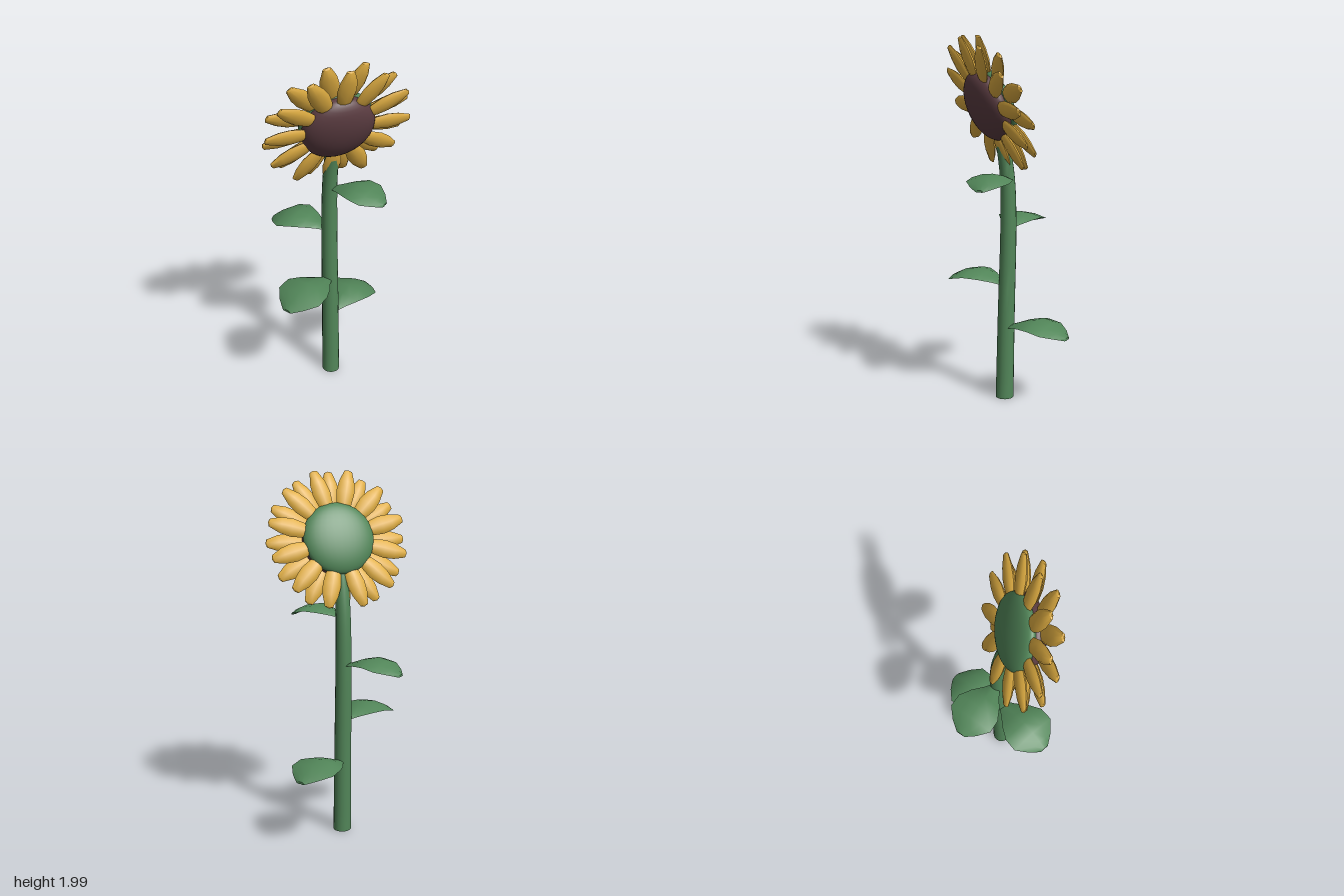
import * as THREE from 'three';
import { toCreasedNormals } from 'three/addons/utils/BufferGeometryUtils.js';

const mat = (name, color) => {
  const m = new THREE.MeshStandardMaterial({ color });
  m.name = name;
  return m;
};

const part = (name, geometry, material) => {
  const m = new THREE.Mesh(geometry, material);
  m.name = name;
  return m;
};

// Skin a list of closed rings (same point count) and cap both ends
function loft(rings) {
  const n = rings[0].length, last = (rings.length - 1) * n, index = [];
  for (let i = 0; i < rings.length - 1; i++) {
    for (let j = 0; j < n; j++) {
      const a = i * n + j, b = i * n + (j + 1) % n;
      index.push(a, b, a + n, b, b + n, a + n);
    }
  }
  for (let j = 1; j < n - 1; j++) {
    index.push(0, j + 1, j, last, last + j, last + j + 1);
  }
  const g = new THREE.BufferGeometry();
  g.setAttribute('position', new THREE.Float32BufferAttribute(rings.flat(2), 3));
  g.setIndex(index);
  return toCreasedNormals(g, 0.7);
}

// Tapered cylinder bent along a curve in the yz plane
function stemGeometry() {
  const curve = new THREE.CatmullRomCurve3([
    [0, 0.005], [0.5, -0.006], [1, -0.019], [1.25, -0.012], [1.42, 0.014], [1.55, 0.05],
  ].map(([y, z]) => new THREE.Vector3(0, y, z)));
  const g = new THREE.CylinderGeometry(0.034, 0.05, 1, 16, 20);
  const p = g.attributes.position;
  for (let i = 0; i < p.count; i++) {
    const c = curve.getPoint(p.getY(i) + 0.5);
    p.setXYZ(i, p.getX(i), c.y, c.z + p.getZ(i));
  }
  return toCreasedNormals(g, 0.9);
}

// Arched leaf along +x with a soft midrib fold: [along, half width, height]
function leafGeometry() {
  const sections = [
    [0.01, 0.02, 0], [0.07, 0.055, 0.022], [0.13, 0.1, 0.045], [0.2, 0.138, 0.06],
    [0.275, 0.14, 0.045], [0.335, 0.085, 0.015], [0.375, 0.028, -0.015],
  ];
  const t = 0.006;
  return loft(sections.map(([x, w, y]) => {
    const d = w * 0.17, q = d * 0.3;
    return [
      [x, y - d, -w], [x, y - q + t, -w / 2], [x, y + t, 0], [x, y - q + t, w / 2],
      [x, y - d, w], [x, y - q - t, w / 2], [x, y - t, 0], [x, y - q - t, -w / 2],
    ];
  }));
}

// Flattened spindle with a blunt tip, pointing along +y away from the flower centre
function petalGeometry() {
  const profile = [
    [0, 0.14], [0.026, 0.16], [0.042, 0.2], [0.051, 0.26],
    [0.044, 0.32], [0.022, 0.383], [0, 0.39],
  ].map(([r, y]) => new THREE.Vector2(r, y));
  const g = new THREE.LatheGeometry(profile, 8);
  g.scale(1, 1, 0.42);
  return toCreasedNormals(g, 0.8);
}

export function createModel() {
  const green = mat('leaf green', 0x528659);
  const yellow = mat('petal yellow', 0xe0ae42);
  const brown = mat('seed brown', 0x5c3d42);
  const model = new THREE.Group();
  model.name = 'sunflower';
  model.add(part('stem', stemGeometry(), green));

  // Leaves: [base height, direction x, direction z, stem z, scale]
  const leafGeo = leafGeometry();
  [
    [0.41, 0.81, -0.585, 0, 1],
    [0.65, -0.86, 0.5, -0.005, 1],
    [0.965, -0.67, -0.74, -0.015, 0.93],
    [1.23, 0.62, 0.78, -0.01, 0.87],
  ].forEach(([y, dx, dz, z, s], i) => {
    const leaf = part(`leaf${i + 1}`, leafGeo, green);
    leaf.position.set(0, y, z);
    leaf.rotation.y = Math.atan2(-dz, dx);
    leaf.scale.setScalar(s);
    model.add(leaf);
  });

  // Flower head, nodding forward
  const head = new THREE.Group();
  head.name = 'flowerHead';
  head.position.set(0, 1.645, 0.064);
  head.rotation.x = 0.38;
  model.add(head);

  const ball = new THREE.SphereGeometry(1, 32, 20);
  const back = part('headBack', ball, green);
  back.scale.set(0.197, 0.197, 0.058);
  const seeds = part('seedDisc', ball, brown);
  seeds.scale.set(0.194, 0.194, 0.09);
  seeds.position.z = 0.04;
  head.add(back, seeds);

  // Two staggered rows of petals
  const petalGeo = petalGeometry();
  [['frontPetal', 0.054, 0], ['backPetal', 0, 0.5]].forEach(([name, z, shift]) => {
    for (let i = 0; i < 12; i++) {
      const petal = part(name, petalGeo, yellow);
      petal.position.z = z;
      petal.rotation.z = (i + shift) * Math.PI / 6;
      head.add(petal);
    }
  });
  return model;
}
